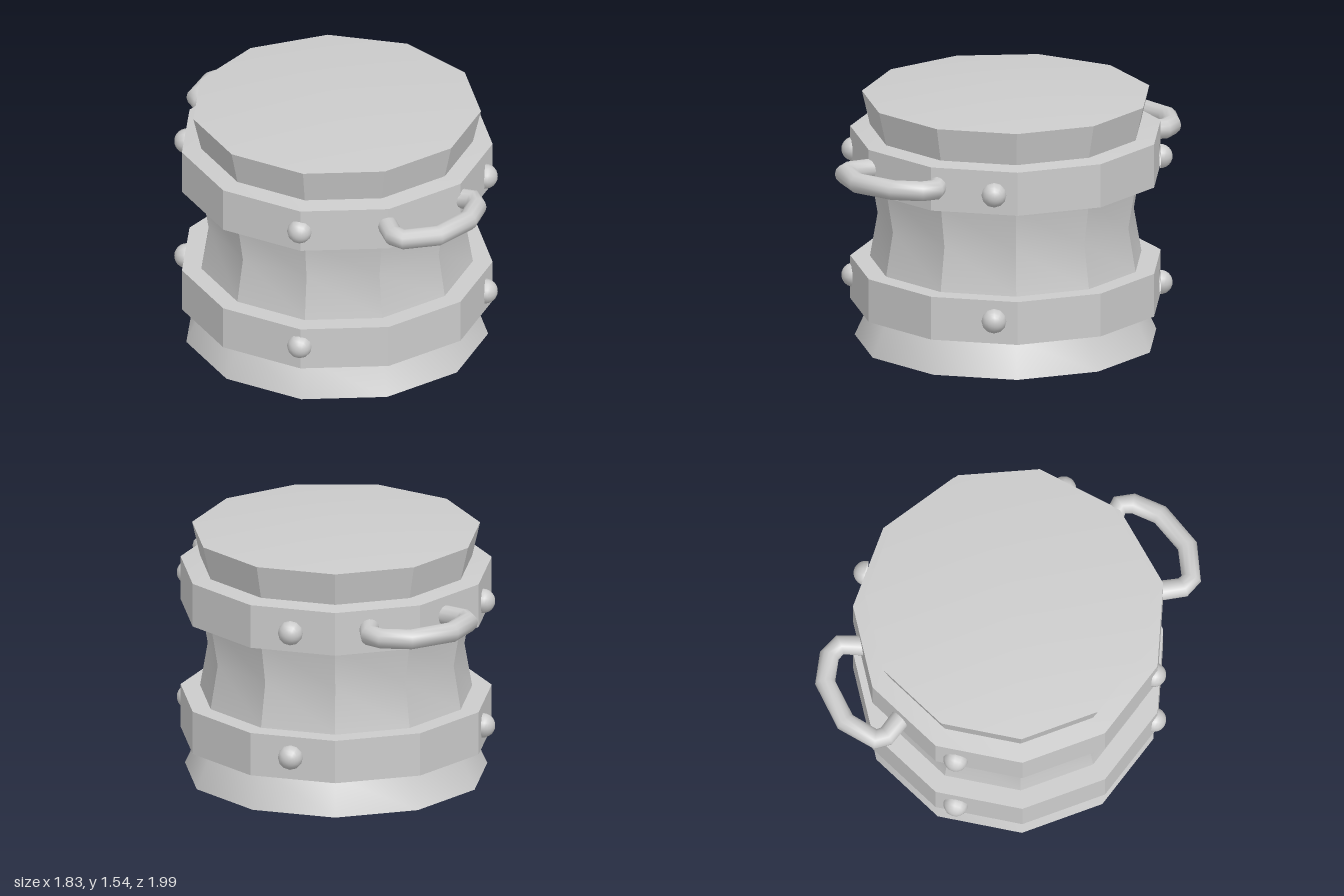
import * as THREE from 'three';
import { toCreasedNormals } from 'three/addons/utils/BufferGeometryUtils.js';

const SIDES = 11;

export function createModel() {
  const group = new THREE.Group();
  const material = new THREE.MeshStandardMaterial({ color: 0xcccccc });
  const openMaterial = new THREE.MeshStandardMaterial({ color: 0xcccccc, side: THREE.DoubleSide });

  function add(name, geometry, mat = material) {
    const mesh = new THREE.Mesh(geometry, mat);
    mesh.name = name;
    group.add(mesh);
    return mesh;
  }

  // Eleven-sided turned part from a [radius, height] profile, bottom to top
  function turned(name, profile) {
    const points = profile.map(([r, y]) => new THREE.Vector2(r, y));
    const lathe = new THREE.LatheGeometry(points, SIDES, Math.PI / 2);
    add(name, toCreasedNormals(lathe, Math.PI / 6));
  }

  // Drum shell
  turned('base', [[0, 0], [0.85, 0.062], [0.76, 0.262]]);
  turned('lowerBand', [[0.76, 0.262], [0.875, 0.272], [0.875, 0.52], [0.765, 0.52]]);
  turned('waist', [[0.765, 0.52], [0.722, 0.77], [0.765, 1.02]]);
  turned('upperBand', [[0.765, 1.02], [0.875, 1.02], [0.875, 1.27], [0.765, 1.282]]);
  turned('lid', [[0.765, 1.282], [0.81, 1.475], [0, 1.538]]);

  // Four domed studs around each band
  const dome = new THREE.SphereGeometry(0.07, 12, 6, 0, Math.PI * 2, 0, Math.PI / 2);
  dome.rotateX(Math.PI / 2);
  for (const y of [0.405, 1.135]) {
    for (let i = 0; i < 4; i++) {
      const geometry = dome.clone().translate(-0.13, y, 0.845).rotateY(i * Math.PI / 2);
      add('stud', geometry, openMaterial);
    }
  }

  // Bent carrying handles, one tube ring at every [x, z] path point
  function handle(name, path) {
    const points = path.map(([x, z]) => new THREE.Vector3(x, 1.16, z));
    const curve = new THREE.CatmullRomCurve3(points);
    curve.getUtoTmapping = (u) => u;
    const tube = new THREE.TubeGeometry(curve, points.length - 1, 0.057, 12);
    add(name, tube, openMaterial);
  }
  handle('frontHandle', [
    [0.34, 0.74], [0.40, 0.90], [0.46, 0.935], [0.645, 0.875],
    [0.795, 0.69], [0.83, 0.53], [0.805, 0.455], [0.69, 0.43],
  ]);
  handle('backHandle', [
    [-0.30, -0.76], [-0.325, -0.90], [-0.40, -0.943], [-0.56, -0.933],
    [-0.765, -0.775], [-0.83, -0.59], [-0.80, -0.535], [-0.66, -0.47],
  ]);

  return group;
}
